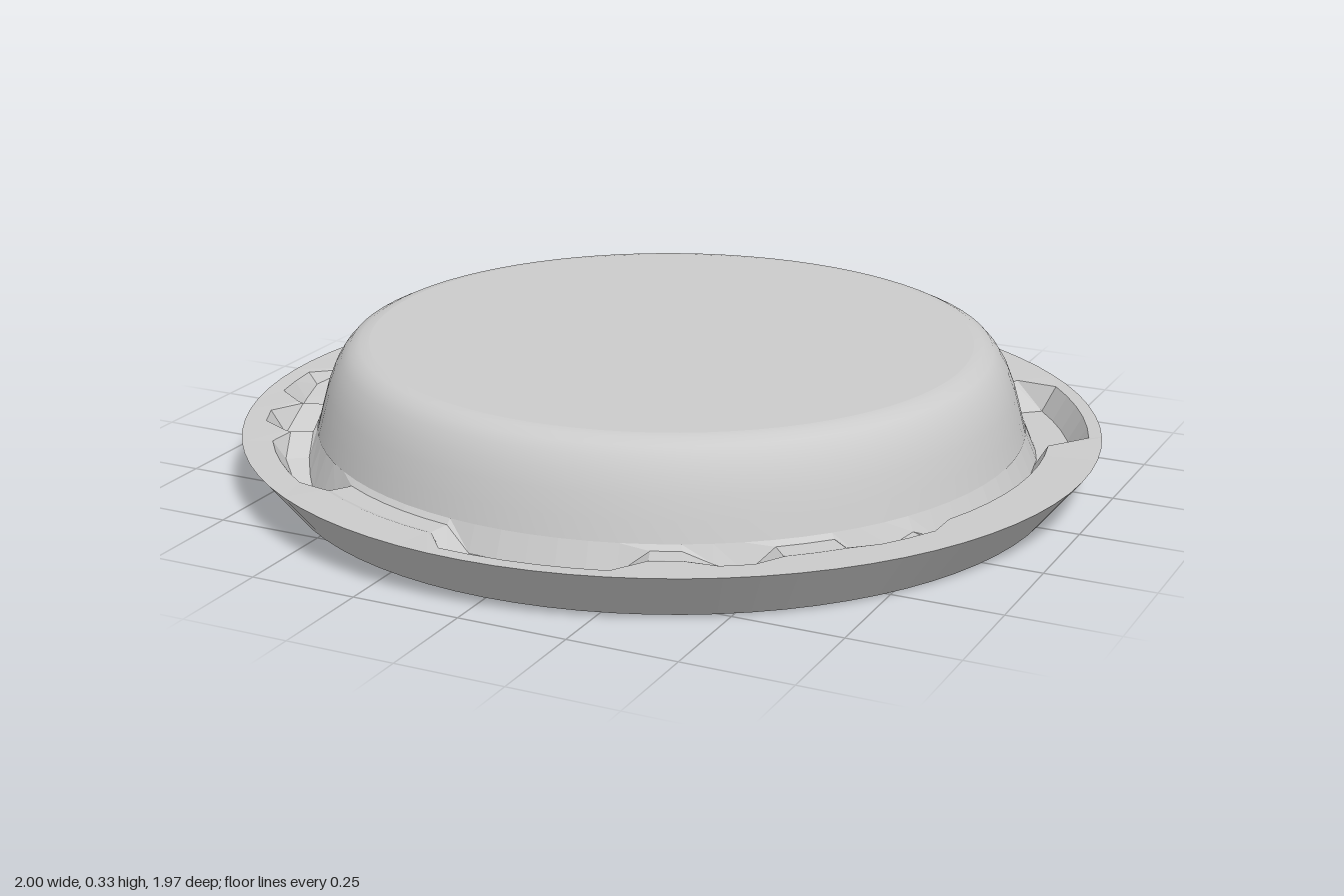
import * as THREE from 'three';

const N = 80; // columns around the dish
const DEPTH = 0.985; // slightly narrower front to back

// Surface through a list of rings; each ring is a function of column -> [radius, y]
function ringSurface(name, rings, smooth = false) {
  const pos = [], index = [];
  for (const ring of rings) {
    for (let i = 0; i < N; i++) {
      const a = (i / N) * Math.PI * 2;
      const [r, y] = ring(i);
      pos.push(r * Math.cos(a), y, r * Math.sin(a) * DEPTH);
    }
  }
  for (let j = 0; j < rings.length - 1; j++) {
    for (let i = 0; i < N; i++) {
      const k = (i + 1) % N;
      const a = j * N + i, b = j * N + k, c = a + N, d = b + N;
      index.push(a, c, d, a, d, b);
    }
  }
  const geo = new THREE.BufferGeometry();
  geo.setAttribute('position', new THREE.Float32BufferAttribute(pos, 3));
  geo.setIndex(index);
  geo.computeVertexNormals();
  const mat = new THREE.MeshStandardMaterial({ color: 0xcccccc, flatShading: !smooth });
  const mesh = new THREE.Mesh(geo, mat);
  mesh.name = name;
  return mesh;
}

const circle = (r, y) => () => [r, y];

// Crumpled pockets in the flange: start angle, end angle, outer radius, depth at start, depth at end
const pockets = [
  [-14, 24, 0.88, 0.05, 0.05], [26, 40, 0.91, 0.02, 0.07],
  [50, 61, 0.93, 0.07, 0.02], [72, 97, 0.96, 0.05, 0.05],
  [122, 133, 0.93, 0.03, 0.08], [135, 148, 0.93, 0.08, 0.03],
  [150, 161, 0.95, 0.03, 0.07], [163, 178, 0.96, 0.07, 0.02],
  [181, 213, 0.96, 0.07, 0.03], [214, 237, 0.97, 0.06, 0.06],
  [248, 257, 0.96, 0.07, 0.04], [270, 297, 0.96, 0.08, 0.03],
  [318, 345, 0.97, 0.06, 0.06],
];

function pocketAt(i) {
  const deg = (i / N) * 360;
  for (const [from, to, outer, d0, d1] of pockets) {
    for (const a of [deg, deg - 360]) {
      if (a >= from && a <= to) {
        return { outer, depth: THREE.MathUtils.lerp(d0, d1, (a - from) / (to - from)) };
      }
    }
  }
  return { outer: 0.9, depth: 0.004 };
}

// Folded inner wall: a zigzag between ridges and valleys of uneven size
function fold(i) {
  const t = (i % 4) / 4;
  const ridge = 1 - Math.abs(t * 2 - 1);
  return ridge * (0.65 + 0.35 * Math.sin(Math.floor(i / 4) * 2.3));
}

export function createModel() {
  const group = new THREE.Group();
  group.name = 'upturnedDish';

  // Flared outside of the rim
  group.add(ringSurface('rimWall', [circle(0.885, 0.008), circle(0.905, 0.012), circle(1, 0.13)]));

  // Flange between rim and crown, with pockets
  group.add(ringSurface('flange', [
    circle(1, 0.13),
    (i) => [pocketAt(i).outer, 0.128],
    (i) => { const p = pocketAt(i); return [p.outer - 0.01 - p.depth * 0.4, 0.128 - p.depth]; },
    (i) => { const p = pocketAt(i); return [0.835 + p.depth * 0.3, 0.128 - p.depth]; },
    circle(0.825, 0.135),
  ]));

  // Rounded crown wall
  const profile = [[0.825, 0.13], [0.812, 0.18], [0.798, 0.23], [0.782, 0.27],
    [0.764, 0.3], [0.745, 0.321], [0.722, 0.332], [0.7, 0.335]];
  group.add(ringSurface('crownWall', profile.map(([r, y]) => circle(r, y)), true));

  // Flat top
  group.add(ringSurface('crownTop', [circle(0.7, 0.335), circle(0, 0.336)]));

  // Hollow underside: flat ceiling and folded inner wall
  group.add(ringSurface('ceiling', [circle(0, 0.305), circle(0.73, 0.305)]));
  group.add(ringSurface('innerWall', [
    (i) => [0.72 - 0.12 * fold(i), 0.305],
    (i) => [0.785 - 0.06 * fold(i + 1), 0.16],
    (i) => [0.835 - 0.03 * fold(i), 0.07],
    circle(0.885, 0.008),
  ]));

  // Stand exactly on the ground
  group.children.forEach((mesh) => mesh.geometry.translate(0, -0.008, 0));
  return group;
}
